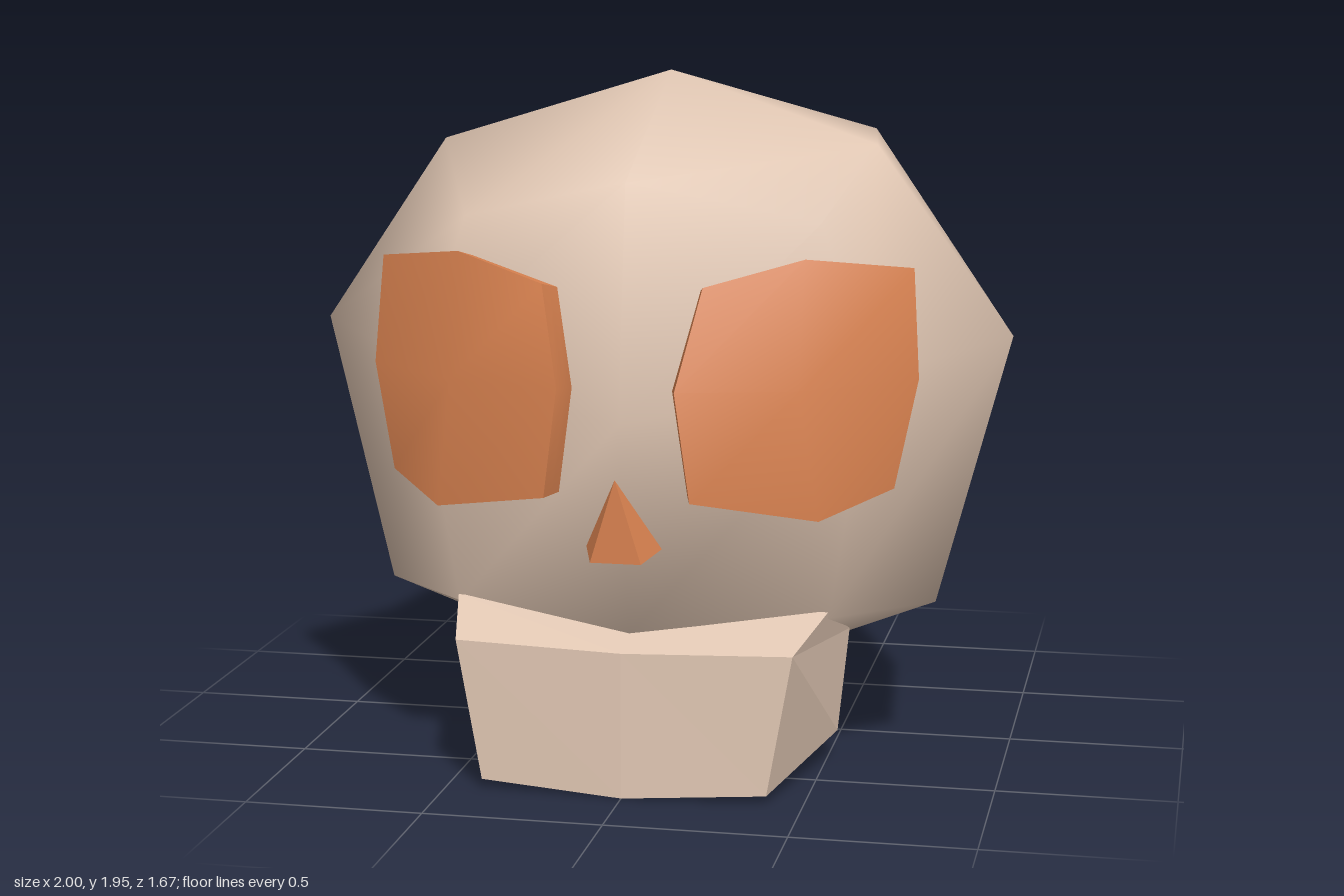
import * as THREE from 'three';
import { mergeVertices, toCreasedNormals } from 'three/addons/utils/BufferGeometryUtils.js';

const bone = new THREE.MeshStandardMaterial({ color: 0xe3c9b5 });
bone.name = 'bone';
const orange = new THREE.MeshStandardMaterial({ color: 0xdc8451 });
orange.name = 'orange';

// A 2x2x2 box whose corners, edge middles and face centres are moved by place(x, y, z), each -1, 0 or 1
function cage(place, crease) {
  const box = new THREE.BoxGeometry(2, 2, 2, 2, 2, 2);
  box.deleteAttribute('uv');
  box.deleteAttribute('normal');
  const g = mergeVertices(box);
  const p = g.attributes.position;
  for (let i = 0; i < p.count; i++) {
    const c = [p.getX(i), p.getY(i), p.getZ(i)].map(Math.round);
    p.setXYZ(i, ...place(...c));
  }
  g.computeVertexNormals();
  return crease ? toCreasedNormals(g, crease) : g;
}

// Strip of cross-sections, closed around and capped at both ends
function loft(sections) {
  const n = sections[0].length, idx = [];
  for (let s = 0; s + 1 < sections.length; s++) {
    for (let i = 0; i < n; i++) {
      const a = s * n + i, b = s * n + (i + 1) % n;
      idx.push(a, b, b + n, a, b + n, a + n);
    }
  }
  const last = (sections.length - 1) * n;
  for (let i = 1; i + 1 < n; i++) {
    idx.push(0, i + 1, i, last, last + i, last + i + 1);
  }
  const g = new THREE.BufferGeometry();
  g.setAttribute('position', new THREE.Float32BufferAttribute(sections.flat(2), 3));
  g.setIndex(idx);
  const flat = g.toNonIndexed();
  flat.computeVertexNormals();
  return flat;
}

function add(group, name, geometry, material) {
  const mesh = new THREE.Mesh(geometry, material);
  mesh.name = name;
  group.add(mesh);
}

export function createModel() {
  const model = new THREE.Group();
  model.name = 'skull';

  // Cranium: rows bottom to top, each with back, middle, front points on the centre line and on the side
  const centre = [
    [[0, 0.35, -0.49], [0, 0.12, 0.07], [0, 0.44, 0.655]],
    [[0, 0.97, -0.84], [0, 1, 0], [0, 1.05, 0.79]],
    [[0, 1.72, -0.63], [0, 1.955, 0.07], [0, 1.69, 0.69]],
  ];
  const side = [
    [[0.5, 0.5, -0.37], [0.8, 0.47, 0.24], [0.53, 0.47, 0.49]],
    [[0.7, 1.11, -0.6], [1, 1.23, 0.18], [0.64, 1.15, 0.5]],
    [[0.52, 1.75, -0.5], [0.62, 1.765, 0.25], [0.5, 1.57, 0.49]],
  ];
  add(model, 'cranium', cage((x, y, z) => {
    const v = (x ? side : centre)[y + 1][z + 1];
    return [v[0] * x, v[1], v[2]];
  }), bone);

  // Jaw: five-sided section, bent slightly forward in the middle
  const jawSide = (s) => [
    [0.47 * s, 0.425, 0.75], [0.53 * s, 0.49, 0.5], [0.555 * s, 0.38, 0.24],
    [0.53 * s, 0.09, 0.29], [0.4 * s, 0.03, 0.75],
  ];
  const jawCentre = [[0, 0.415, 0.77], [0, 0.48, 0.5], [0, 0.37, 0.24], [0, 0.08, 0.29], [0, 0.005, 0.77]];
  add(model, 'jaw', loft([jawSide(1), jawCentre, jawSide(-1)]), bone);

  // Eyes: curved plates, columns run from the nose outwards, rows bottom to top
  const eye = [
    [[0.2, 0.85, 0.82], [0.53, 0.79, 0.7], [0.71, 0.85, 0.51]],
    [[0.16, 1.15, 0.83], [0.48, 1.15, 0.74], [0.77, 1.15, 0.48]],
    [[0.22, 1.42, 0.74], [0.48, 1.49, 0.64], [0.75, 1.45, 0.45]],
  ];
  for (const s of [1, -1]) {
    add(model, s > 0 ? 'leftEye' : 'rightEye', cage((x, y, z) => {
      const v = eye[y + 1][x * s + 1];
      const back = (1 - z) / 2;
      const depth = 0.072 - 0.015 * x * s;
      return [s * (v[0] - 0.022 * back), v[1] - 0.01 * (1 + y) * back, v[2] - depth * back];
    }, 0.7), orange);
  }

  // Nose: small wedge rising to a point
  const tip = [0, 0.91, 0.835];
  const base = [[-0.105, 0.7, 0.72], [-0.07, 0.68, 0.83], [0.07, 0.68, 0.83], [0.105, 0.7, 0.72]];
  add(model, 'nose', loft([base, base.map(() => tip)]), orange);

  return model;
}
